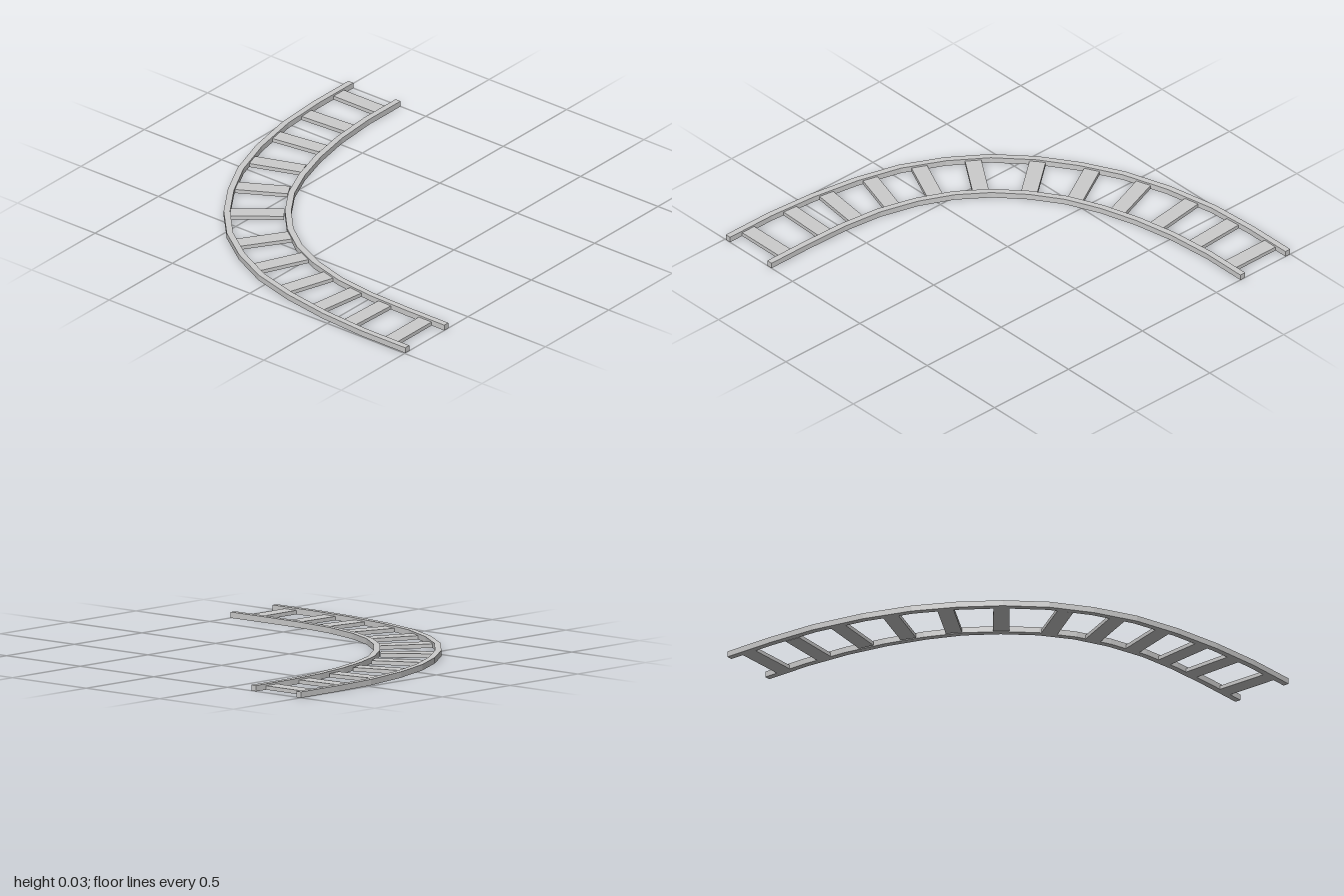
import * as THREE from 'three';

const RAIL_WIDTH = 0.032, RAIL_HEIGHT = 0.03;
const TIE_LENGTH = 0.28, TIE_WIDTH = 0.082, TIE_HEIGHT = 0.02;

// plan points (x, z) of each rail's free edge
const OUTER_EDGE = [
  [-1, -1], [-1, -0.73], [-0.984, -0.465], [-0.93, -0.187], [-0.85, 0.059], [-0.743, 0.267], [-0.615, 0.455],
  [-0.455, 0.626], [-0.267, 0.76], [-0.053, 0.866], [0.187, 0.932], [0.45, 0.975], [0.717, 0.995], [1, 0.995],
];
const INNER_EDGE = [
  [-0.663, -1], [-0.663, -0.75], [-0.642, -0.51], [-0.6, -0.294], [-0.54, -0.096], [-0.463, 0.08], [-0.358, 0.235],
  [-0.23, 0.374], [-0.08, 0.484], [0.09, 0.564], [0.294, 0.622], [0.51, 0.648], [0.754, 0.655], [1, 0.655],
];

// ties: centre x, centre z, turn in degrees
const TIES = [
  [-0.832, -0.885, 0], [-0.818, -0.626, 3.4], [-0.797, -0.364, 8], [-0.733, -0.112, 19.9],
  [-0.636, 0.131, 29.6], [-0.492, 0.348, 38.7], [-0.283, 0.537, 55.7], [-0.067, 0.668, 65],
  [0.166, 0.754, 72.5], [0.396, 0.794, 82.3], [0.607, 0.818, 88], [0.877, 0.823, 90],
];

// shift a polyline sideways with mitred corners
function offsetPath(points, distance) {
  const normal = (a, b) => new THREE.Vector2(b.y - a.y, a.x - b.x).normalize();
  return points.map((p, i) => {
    const before = i > 0 ? normal(points[i - 1], p) : normal(p, points[1]);
    const after = i < points.length - 1 ? normal(p, points[i + 1]) : before;
    const mitre = before.clone().add(after).normalize();
    return p.clone().addScaledVector(mitre, distance / mitre.dot(after));
  });
}

// square-section rail between an edge and its offset
function makeRail(edge, distance, material, name) {
  const path = edge.map(([x, z]) => new THREE.Vector2(x, -z));
  const shape = new THREE.Shape([...path, ...offsetPath(path, distance).reverse()]);
  const geometry = new THREE.ExtrudeGeometry(shape, { depth: RAIL_HEIGHT, bevelEnabled: false });
  geometry.rotateX(-Math.PI / 2);
  const rail = new THREE.Mesh(geometry, material);
  rail.name = name;
  return rail;
}

export function createModel() {
  const group = new THREE.Group();
  group.name = 'curvedTrack';
  const material = new THREE.MeshStandardMaterial({ color: 0xcccccc, flatShading: true });

  // rails: each thickens towards the middle of the track
  group.add(makeRail(OUTER_EDGE, -RAIL_WIDTH, material, 'outerRail'));
  group.add(makeRail(INNER_EDGE, RAIL_WIDTH, material, 'innerRail'));

  // cross ties
  const tieGeometry = new THREE.BoxGeometry(TIE_LENGTH, TIE_HEIGHT, TIE_WIDTH);
  TIES.forEach(([x, z, degrees], i) => {
    const tie = new THREE.Mesh(tieGeometry, material);
    tie.name = `crossTie${i + 1}`;
    tie.position.set(x, TIE_HEIGHT / 2, z);
    tie.rotation.y = THREE.MathUtils.degToRad(degrees);
    group.add(tie);
  });
  return group;
}
